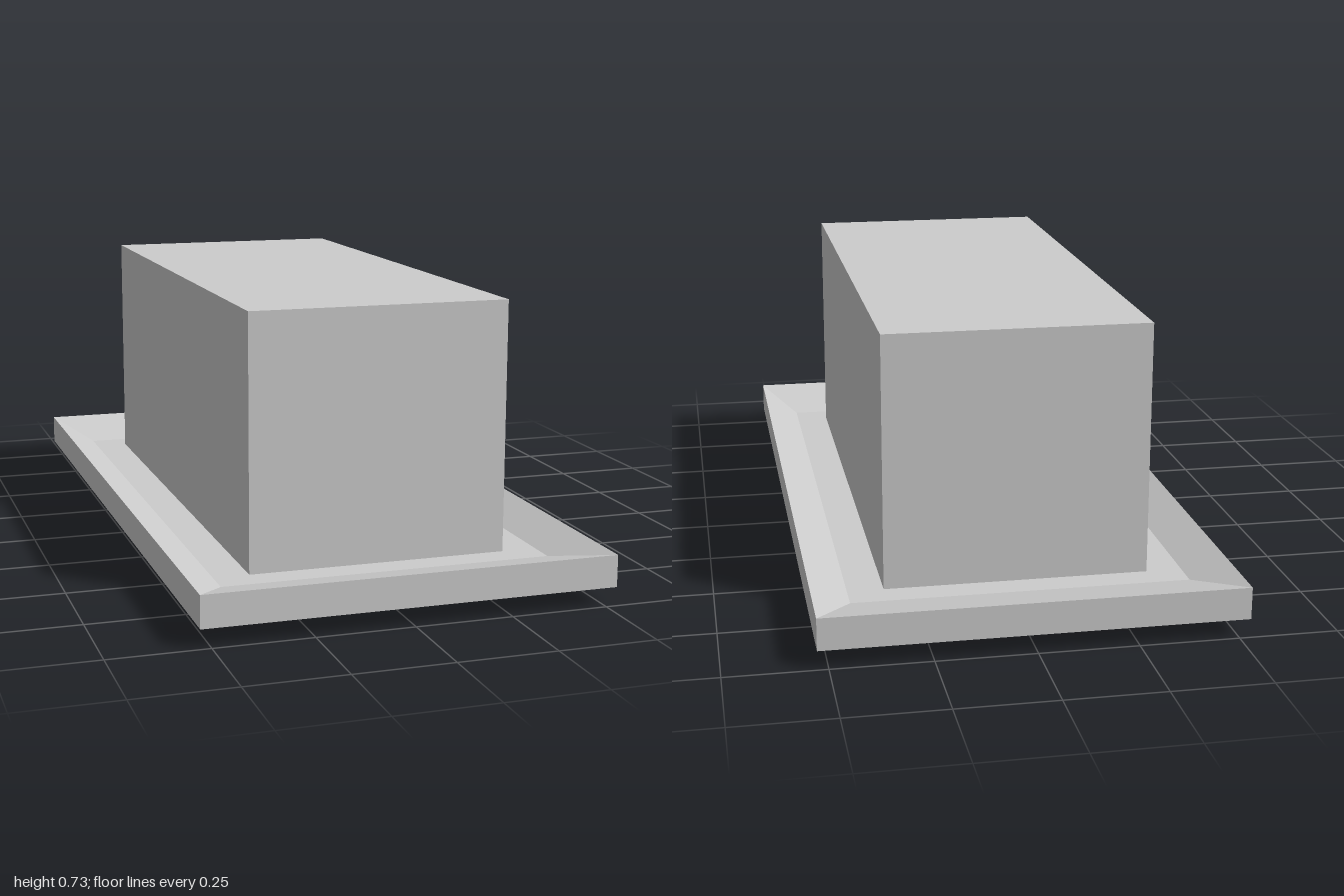
import * as THREE from 'three';

export function createModel() {
  const group = new THREE.Group();
  const material = new THREE.MeshStandardMaterial({ color: 0xcccccc, flatShading: true });

  // Dished tray: a four-sided lathe, squared up and stretched to the plate size.
  const halfWidth = 0.527, halfLength = 1, floorRatio = 0.813;
  const profile = [
    [0, 0], [floorRatio, 0],          // flat underside
    [1, 0.048], [1, 0.13],            // bevel and rim edge
    [floorRatio, 0.082], [0, 0.082],  // inner slope and floor
  ].map(([r, y]) => new THREE.Vector2(r * Math.SQRT2, y));
  const trayGeometry = new THREE.LatheGeometry(profile, 4)
    .rotateY(Math.PI / 4)
    .scale(halfWidth, 1, halfLength)
    .toNonIndexed();
  trayGeometry.computeVertexNormals();
  const tray = new THREE.Mesh(trayGeometry, material);
  tray.name = 'tray';
  group.add(tray);

  // Rectangular block standing on the tray floor
  const bottom = 0.082, top = 0.733;
  const block = new THREE.Mesh(new THREE.BoxGeometry(0.674, top - bottom, 1.48), material);
  block.position.y = (top + bottom) / 2;
  block.name = 'block';
  group.add(block);

  return group;
}
